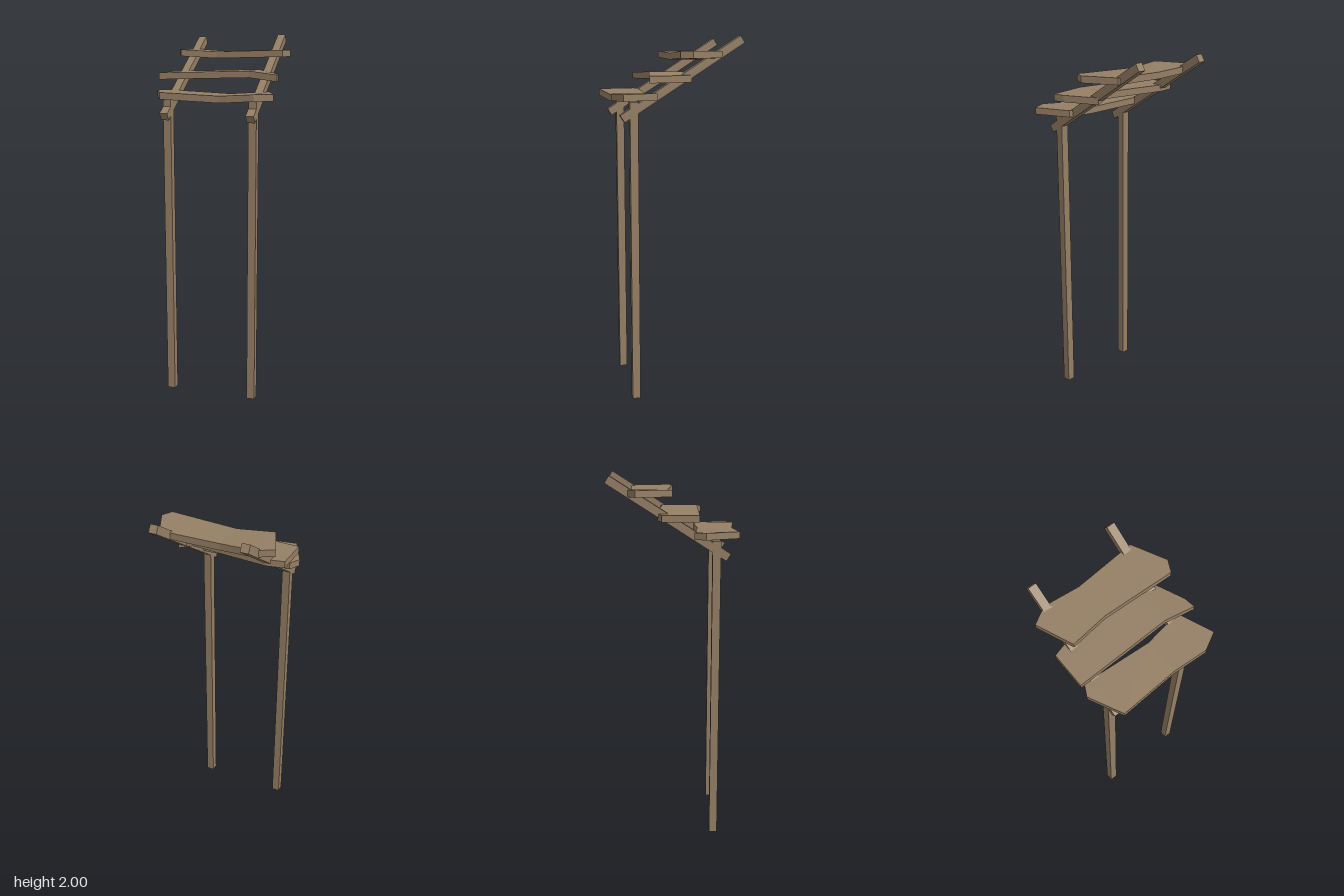
import * as THREE from 'three';

const wood = new THREE.MeshStandardMaterial({ color: 0x957f65 });
wood.name = 'weathered wood';

const BEAM = 0.044;
const PLANK = 0.036;

// Warped board lofted through stations: [backX, backZ, frontX, frontZ, bottomY]
function plank(name, stations) {
  const rings = stations.map(([bx, bz, fx, fz, y]) => [
    new THREE.Vector3(bx, y, bz), new THREE.Vector3(fx, y, fz),
    new THREE.Vector3(fx, y + PLANK, fz), new THREE.Vector3(bx, y + PLANK, bz),
  ]);
  const pos = [];
  const tri = (a, b, c) => {
    const area = b.clone().sub(a).cross(c.clone().sub(a)).length();
    if (area > 1e-7) for (const p of [a, b, c]) pos.push(p.x, p.y, p.z);
  };
  const quad = (a, b, c, d) => { tri(a, b, c); tri(a, c, d); };
  for (let i = 0; i < rings.length - 1; i++) {
    for (let k = 0; k < 4; k++) {
      const n = (k + 1) % 4;
      quad(rings[i][k], rings[i + 1][k], rings[i + 1][n], rings[i][n]);
    }
  }
  // end caps
  const s = rings[0], e = rings[rings.length - 1];
  quad(s[0], s[1], s[2], s[3]);
  quad(e[3], e[2], e[1], e[0]);
  const geo = new THREE.BufferGeometry();
  geo.setAttribute('position', new THREE.Float32BufferAttribute(pos, 3));
  geo.computeVertexNormals();
  const mesh = new THREE.Mesh(geo, wood);
  mesh.name = name;
  return mesh;
}

// Square beam between two points
function beam(name, x, z0, y0, z1, y1) {
  const dz = z1 - z0, dy = y1 - y0;
  const mesh = new THREE.Mesh(new THREE.BoxGeometry(BEAM, Math.hypot(dz, dy), BEAM), wood);
  mesh.position.set(x, (y0 + y1) / 2, (z0 + z1) / 2);
  mesh.rotation.x = Math.atan2(dz, dy);
  mesh.name = name;
  return mesh;
}

export function createModel() {
  const group = new THREE.Group();
  group.name = 'plankCanopy';

  // Posts and sloping rails
  group.add(
    beam('rightPost', -0.257, 0.238, 0, 0.238, 1.66),
    beam('leftPost', 0.22, 0.238, 0, 0.238, 1.66),
    beam('rightRail', -0.257, 0.3, 1.573, -0.33, 1.972),
    beam('leftRail', 0.22, 0.3, 1.573, -0.347, 1.982),
  );

  // Three crooked planks with chipped corners
  group.add(
    plank('upperPlank', [
      [-0.35, -0.182, -0.272, 0.006, 1.884],
      [-0.262, -0.232, -0.272, 0.006, 1.884],
      [-0.07, -0.214, -0.07, -0.019, 1.873],
      [0.256, -0.231, 0.312, 0.006, 1.884],
      [0.342, -0.055, 0.312, 0.006, 1.884],
    ]),
    plank('middlePlank', [
      [-0.348, -0.048, -0.348, 0.145, 1.761],
      [-0.255, -0.072, -0.255, 0.145, 1.764],
      [0.165, -0.052, 0.165, 0.145, 1.778],
      [0.24, -0.072, 0.327, 0.172, 1.76],
      [0.318, 0.11, 0.327, 0.172, 1.76],
    ]),
    plank('lowerPlank', [
      [-0.312, 0.12, -0.344, 0.18, 1.67],
      [-0.312, 0.12, -0.258, 0.357, 1.67],
      [0.065, 0.147, 0.065, 0.34, 1.657],
      [0.27, 0.12, 0.254, 0.357, 1.67],
      [0.27, 0.12, 0.346, 0.309, 1.67],
    ]),
  );
  return group;
}
